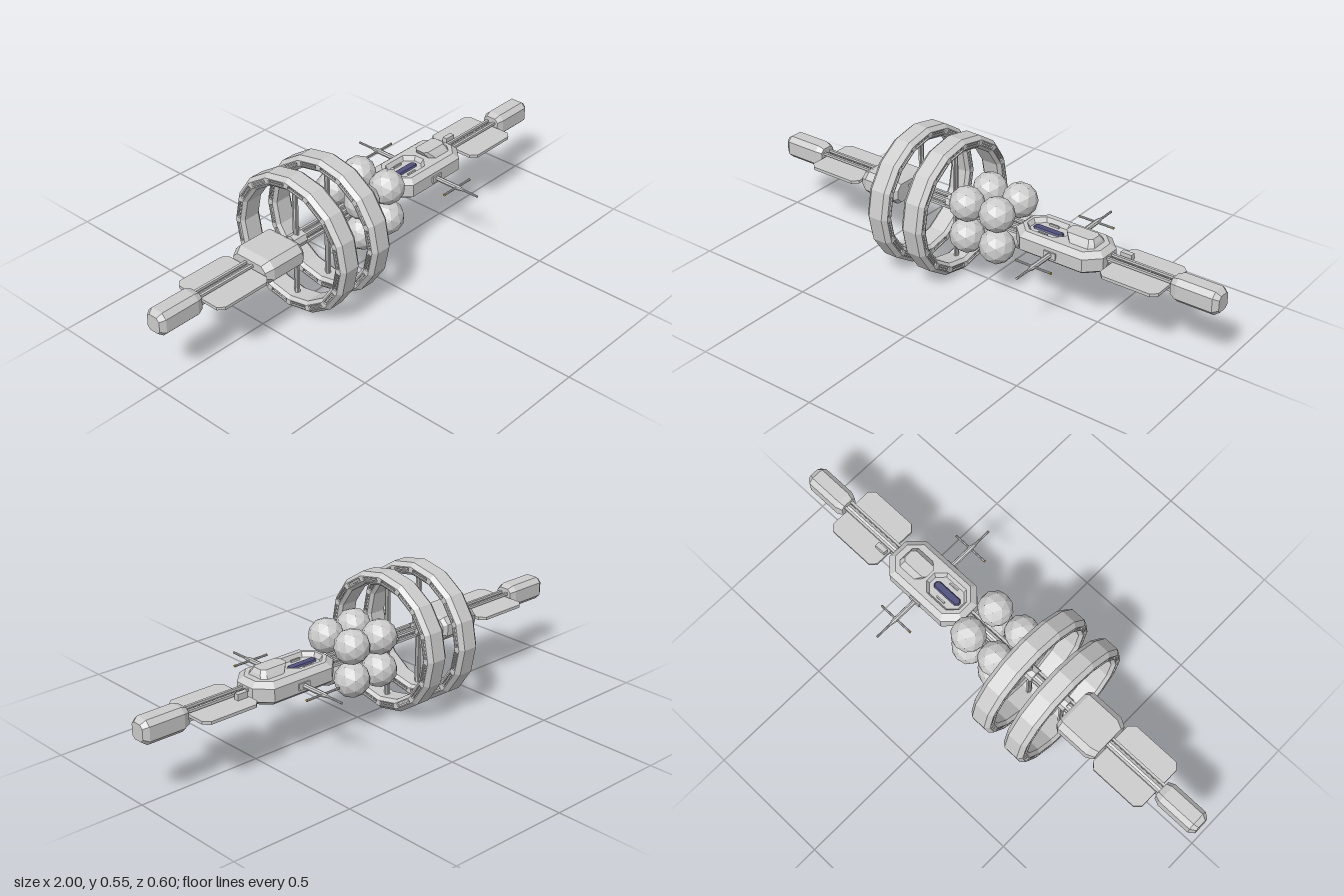
import * as THREE from 'three';

const AXIS = 0.279; // height of the long axis
const mat = (color) => new THREE.MeshStandardMaterial({ color, flatShading: true, side: THREE.DoubleSide });
const grey = mat(0xcccccc), blue = mat(0x50507c), yellow = mat(0xc8a040);

function add(parent, name, geo, x = 0, y = 0, z = 0, material = grey) {
  const m = new THREE.Mesh(geo, material);
  m.name = name;
  m.position.set(x, y, z);
  parent.add(m);
  return m;
}

// Loft chamfered rectangles along +z; section = [z, halfX, halfY, chamfer, centreX]
function loft(sections) {
  const pos = [], idx = [];
  for (const [z, a, b, c, cx = 0] of sections) {
    const loop = [[a, c - b], [a, b - c], [a - c, b], [c - a, b], [-a, b - c], [-a, c - b], [c - a, -b], [a - c, -b]];
    for (const [x, y] of loop) pos.push(x + cx, y, z);
  }
  for (let s = 0; s < sections.length - 1; s++)
    for (let i = 0; i < 8; i++) {
      const p = s * 8 + i, q = s * 8 + (i + 1) % 8;
      idx.push(p, q, q + 8, p, q + 8, p + 8);
    }
  const top = (sections.length - 1) * 8;
  for (let i = 1; i < 7; i++) idx.push(0, i + 1, i, top, top + i, top + i + 1);
  const g = new THREE.BufferGeometry();
  g.setAttribute('position', new THREE.Float32BufferAttribute(pos, 3));
  g.setIndex(idx);
  const flat = g.toNonIndexed();
  flat.computeVertexNormals();
  return flat;
}
const loftX = (s) => loft(s).rotateY(Math.PI / 2);
const loftY = (s) => loft(s).rotateX(-Math.PI / 2);
const rodX = (r, len, sides = 8) => new THREE.CylinderGeometry(r, r, len, sides).rotateZ(Math.PI / 2);

// Habitat ring: faceted rim, slotted side plates and two spokes
function habitatRing() {
  const ring = new THREE.Group();
  ring.name = 'habitatRing';
  const N = 16, step = Math.PI * 2 / N;
  const profile = [[0.24, -0.04], [0.262, -0.04], [0.262, -0.047], [0.277, -0.03], [0.277, 0.03], [0.262, 0.047],
    [0.262, 0.04], [0.24, 0.04], [0.24, 0.047], [0.228, 0.034], [0.228, -0.034], [0.24, -0.047], [0.24, -0.04]];
  add(ring, 'rim', new THREE.LatheGeometry(profile.map((p) => new THREE.Vector2(...p)), N).rotateZ(-Math.PI / 2));

  const polygon = (r) => Array.from({ length: N }, (_, i) =>
    new THREE.Vector2(r * Math.cos(i * step), r * Math.sin(i * step)));
  const plate = new THREE.Shape(polygon(0.262));
  plate.holes.push(new THREE.Path(polygon(0.24).reverse()));
  const mid = 0.251 * Math.cos(step / 2);
  const windows = [];
  for (let i = 0; i < N; i++) {
    const t = (i + 0.5) * step, c = Math.cos(t), s = Math.sin(t);
    windows.push(t);
    plate.holes.push(new THREE.Path([[-1, -1], [-1, 1], [1, 1], [1, -1]].map(([u, v]) => {
      const r = mid + u * 0.0065, w = v * 0.038;
      return new THREE.Vector2(r * c - w * s, r * s + w * c);
    })));
  }
  for (const side of [-1, 1]) {
    const geo = new THREE.ExtrudeGeometry(plate, { depth: 0.007, bevelEnabled: false });
    add(ring, 'sidePlate', geo.rotateY(Math.PI / 2), side > 0 ? 0.04 : -0.047);
    for (const t of windows) {
      const bar = add(ring, 'windowBar', new THREE.BoxGeometry(0.005, 0.005, 0.066),
        side * 0.0415, mid * Math.sin(t), -mid * Math.cos(t));
      bar.rotation.x = Math.PI / 2 - t + Math.PI / 2;
      bar.rotation.x = Math.PI / 2 + t - Math.PI / 2;
      bar.lookAt(bar.position.x, bar.position.y + Math.cos(t), bar.position.z + Math.sin(t));
    }
  }
  for (const s of [-1, 1]) {
    add(ring, 'spoke', new THREE.CylinderGeometry(0.009, 0.009, 0.21, 8), 0, s * 0.128, 0);
    for (const e of [-1, 1])
      add(ring, 'spokeRail', new THREE.BoxGeometry(0.008, 0.21, 0.005), 0, s * 0.128, e * 0.009);
  }
  add(ring, 'hub', rodX(0.03, 0.06), 0, 0, 0);
  return ring;
}

// Side antenna pointing along +z, with a crossbar
function antenna() {
  const g = new THREE.Group();
  g.name = 'antenna';
  const mast = [[0, 0.085], [0.01, 0.085], [0.01, 0.207], [0.0045, 0.235], [0.0045, 0.3], [0, 0.3]];
  add(g, 'mast', new THREE.LatheGeometry(mast.map((p) => new THREE.Vector2(...p)), 8).rotateX(Math.PI / 2));
  add(g, 'crossbar', rodX(0.0045, 0.15), 0, 0, 0.2);
  for (const s of [-1, 1]) add(g, 'crossbarTip', rodX(0.005, 0.004), s * 0.075, 0, 0.2, yellow);
  return g;
}

export function createModel() {
  const model = new THREE.Group();
  const ship = new THREE.Group();
  ship.name = 'station';
  ship.position.y = AXIS;
  model.add(ship);

  // Central spine: core and four rails
  add(ship, 'spineCore', rodX(0.014, 1.66));
  for (const sy of [-1, 1]) for (const sz of [-1, 1])
    add(ship, 'spineRail', new THREE.BoxGeometry(1.66, 0.01, 0.01), 0, sy * 0.016, sz * 0.016);

  // End pods and flat panels, mirrored
  const fin = loftY([[-0.006, 0.12, 0.115, 0.022], [0.006, 0.12, 0.115, 0.022]]);
  for (const s of [-1, 1]) {
    const pod = add(ship, 'endPod', loftX([[0.81, 0.034, 0.036, 0.014], [0.835, 0.044, 0.046, 0.019],
      [0.98, 0.044, 0.046, 0.019], [1, 0.03, 0.032, 0.012]]));
    if (s < 0) pod.rotation.y = Math.PI;
    add(ship, 'panel', fin, s * 0.68, 0, 0);
  }
  add(ship, 'panelBox', new THREE.BoxGeometry(0.045, 0.024, 0.02), 0.588, 0.018, -0.04);

  // Rear engine block
  add(ship, 'rearBlock', loftX([[-0.555, 0.08, 0.032, 0.02], [-0.525, 0.096, 0.047, 0.024],
    [-0.385, 0.096, 0.047, 0.024], [-0.37, 0.085, 0.038, 0.02]]));

  // Twin rings
  for (const x of [-0.32, -0.155]) {
    const ring = habitatRing();
    ring.position.x = x;
    ship.add(ring);
  }

  // Eight storage spheres with struts
  for (const x of [-0.045, 0.093]) for (const sy of [-1, 1]) for (const sz of [-1, 1]) {
    add(ship, 'tank', new THREE.IcosahedronGeometry(0.069, 1), x, sy * 0.066, sz * 0.071);
    const strut = add(ship, 'tankStrut', new THREE.CylinderGeometry(0.005, 0.005, 0.09, 6), x, sy * 0.033, sz * 0.035);
    strut.rotation.x = sy * sz * Math.PI / 4;
  }

  // Command hull with a recessed dock in its roof
  add(ship, 'hull', loftY([[-0.046, 0.16, 0.07, 0.04], [-0.024, 0.19, 0.098, 0.055], [0.027, 0.19, 0.098, 0.055],
    [0.046, 0.168, 0.076, 0.045], [0.046, 0.085, 0.056, 0.035, -0.072], [0.028, 0.075, 0.046, 0.03, -0.072]]), 0.35);
  add(ship, 'dockPad', loftY([[0.026, 0.066, 0.018, 0.012], [0.034, 0.06, 0.012, 0.008]]), 0.275, 0, 0, blue);
  for (const s of [-1, 1])
    add(ship, 'dockLight', new THREE.BoxGeometry(0.04, 0.008, 0.006), 0.275, 0.032, s * 0.036);
  add(ship, 'tower', loftY([[0.044, 0.055, 0.052, 0.018, 0.01], [0.058, 0.058, 0.042, 0.016, 0.002],
    [0.073, 0.058, 0.03, 0.012, -0.008]]), 0.43);

  // Antennas on both sides of the hull
  for (const s of [-1, 1]) {
    const a = antenna();
    a.position.x = 0.35;
    if (s < 0) a.rotation.y = Math.PI;
    ship.add(a);
    add(ship, 'antennaMount', new THREE.BoxGeometry(0.05, 0.026, 0.012), 0.35, 0, s * 0.098);
  }
  return model;
}
